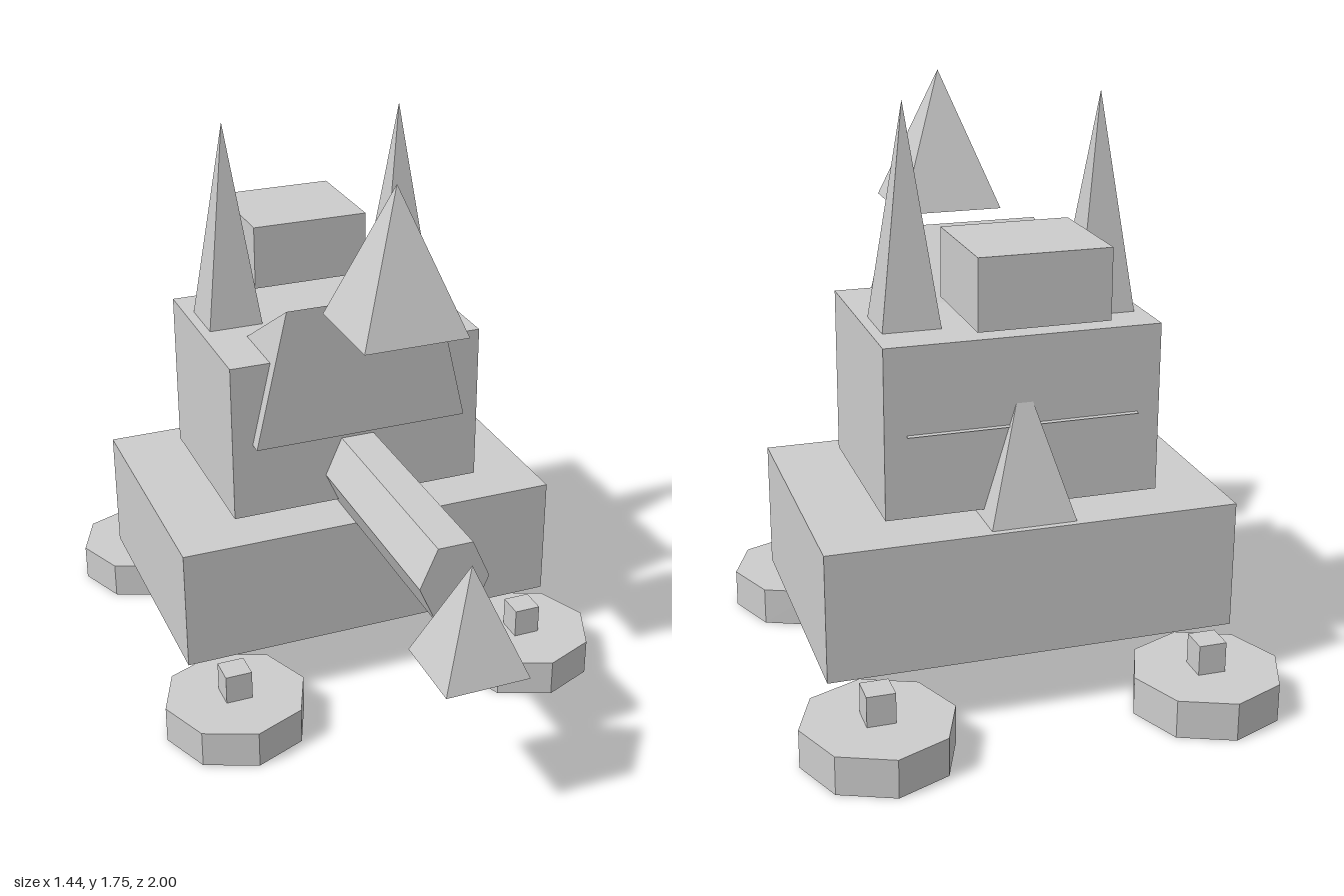
import * as THREE from 'three';

const grey = new THREE.MeshStandardMaterial({ color: 0xcccccc });
grey.name = 'plain grey';

// Splits shared vertices so every face is flat
function flat(geometry) {
  const g = geometry.index ? geometry.toNonIndexed() : geometry;
  g.computeVertexNormals();
  return g;
}

export function createModel() {
  const model = new THREE.Group();
  model.name = 'toyVehicle';

  const add = (name, geometry, x = 0, y = 0, z = 0) => {
    const mesh = new THREE.Mesh(flat(geometry), grey);
    mesh.name = name;
    mesh.position.set(x, y, z);
    model.add(mesh);
  };

  // Box given by width, bottom/top and back/front
  const box = (name, width, y0, y1, z0, z1, x = 0) =>
    add(name, new THREE.BoxGeometry(width, y1 - y0, z1 - z0), x, (y0 + y1) / 2, (z0 + z1) / 2);

  // Square pyramid given by half width, bottom/top and centre
  const pyramid = (name, half, y0, y1, z, x = 0) => {
    const g = new THREE.ConeGeometry(half * Math.SQRT2, y1 - y0, 4).rotateY(Math.PI / 4);
    add(name, g, x, (y0 + y1) / 2, z);
  };

  // Body blocks
  box('chassis', 1.23, 0.19, 0.58, -0.677, 0.163);
  box('cabin', 0.82, 0.605, 1.115, -0.555, 0.042);
  box('rearBlock', 0.38, 1.19, 1.395, -0.717, -0.362);

  // Octagonal wheels with square pegs
  for (const x of [-0.495, 0.495]) {
    for (const z of [-0.775, 0.257]) {
      add('wheel', new THREE.CylinderGeometry(0.225, 0.225, 0.117, 8), x, 0.0585, z);
      box('wheelPeg', 0.084, 0.1, 0.21, z - 0.042, z + 0.042, x);
    }
  }

  // Tapered wedge through the cabin: tall front, sloping down to the back
  const w = 0.345, t = 0.242, y0 = 0.85, y1 = 1.29, f = 0.082, b = -0.562;
  const wedge = new THREE.BufferGeometry();
  wedge.setAttribute('position', new THREE.Float32BufferAttribute([
    -w, y0, f, w, y0, f, t, y1, f, -t, y1, f, -w, y0, b, w, y0, b,
  ], 3));
  wedge.setIndex([
    0, 1, 2, 0, 2, 3, // front
    3, 2, 5, 3, 5, 4, // slope
    0, 4, 5, 0, 5, 1, // bottom
    0, 3, 4, 1, 5, 2, // sides
  ]);
  add('faceWedge', wedge);

  // Stretched hexagonal barrel, flat on top
  const barrel = new THREE.CylinderGeometry(1, 1, 0.767, 6)
    .rotateY(Math.PI / 6)
    .scale(0.107, 1, 0.12 / Math.cos(Math.PI / 6))
    .rotateX(Math.PI / 2);
  add('barrel', barrel, 0, 0.7, 0.3835);

  // Pyramids
  pyramid('barrelTip', 0.128, 0.495, 0.815, 0.872);
  pyramid('floatingPyramid', 0.16, 1.305, 1.727, 0.327);
  pyramid('rearSpike', 0.127, 0.58, 1.0, -0.53);
  for (const x of [-0.292, 0.292]) pyramid('roofSpike', 0.087, 1.113, 1.753, -0.338, x);

  return model;
}
